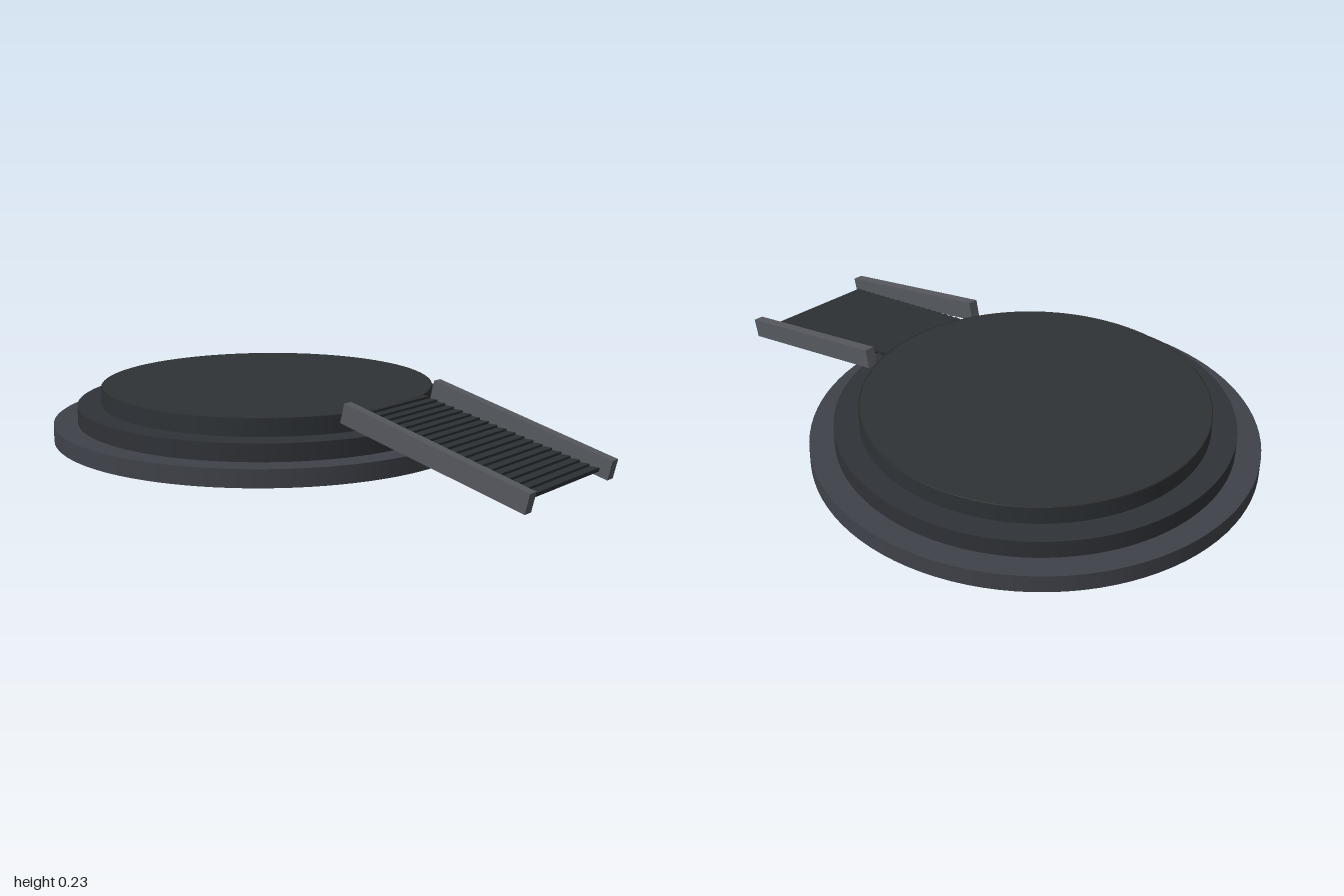
import * as THREE from 'three';

const paint = (color) => new THREE.MeshStandardMaterial({ color });

export function createModel() {
  const model = new THREE.Group();
  const add = (name, geometry, material, x, y, z, parent = model) => {
    const mesh = new THREE.Mesh(geometry, material);
    mesh.name = name;
    mesh.position.set(x, y, z);
    parent.add(mesh);
    return mesh;
  };

  // Three stacked round tiers
  const centreZ = -0.25;
  const tiers = [
    ['lowerTier', 0.75, 0x3f4249],
    ['middleTier', 0.667, 0x2f3237],
    ['upperTier', 0.583, 0x2e3236],
  ];
  tiers.forEach(([name, radius, color], i) => {
    add(name, new THREE.CylinderGeometry(radius, radius, 0.06, 96), paint(color), 0, 0.04 + i * 0.06, centreZ);
  });

  // Fine trim line around the upper tier
  const trim = add('edgeTrim', new THREE.TorusGeometry(0.581, 0.002, 6, 96), paint(0x2a2622), 0, 0.189, centreZ);
  trim.rotation.x = Math.PI / 2;

  // Ramp of narrow treads, tapering towards the platform
  const ramp = new THREE.Group();
  ramp.name = 'ramp';
  model.add(ramp);
  const treadPaint = paint(0x2c3034);
  const count = 20;
  for (let i = 0; i < count; i++) {
    const t = i / (count - 1);
    const width = THREE.MathUtils.lerp(0.43, 0.345, t);
    const y = THREE.MathUtils.lerp(0.034, 0.184, t);
    const z = THREE.MathUtils.lerp(0.943, 0.315, t);
    add('tread', new THREE.BoxGeometry(width, 0.012, 0.034), treadPaint, 0, y, z, ramp);
  }

  // Sloping side rails
  const railPaint = paint(0x55585d);
  for (const side of [-1, 1]) {
    const name = side > 0 ? 'leftRail' : 'rightRail';
    const rail = add(name, new THREE.BoxGeometry(0.035, 0.067, 0.705), railPaint, side * 0.242, 0.117, 0.65);
    rail.rotation.x = 0.24;
  }

  return model;
}
